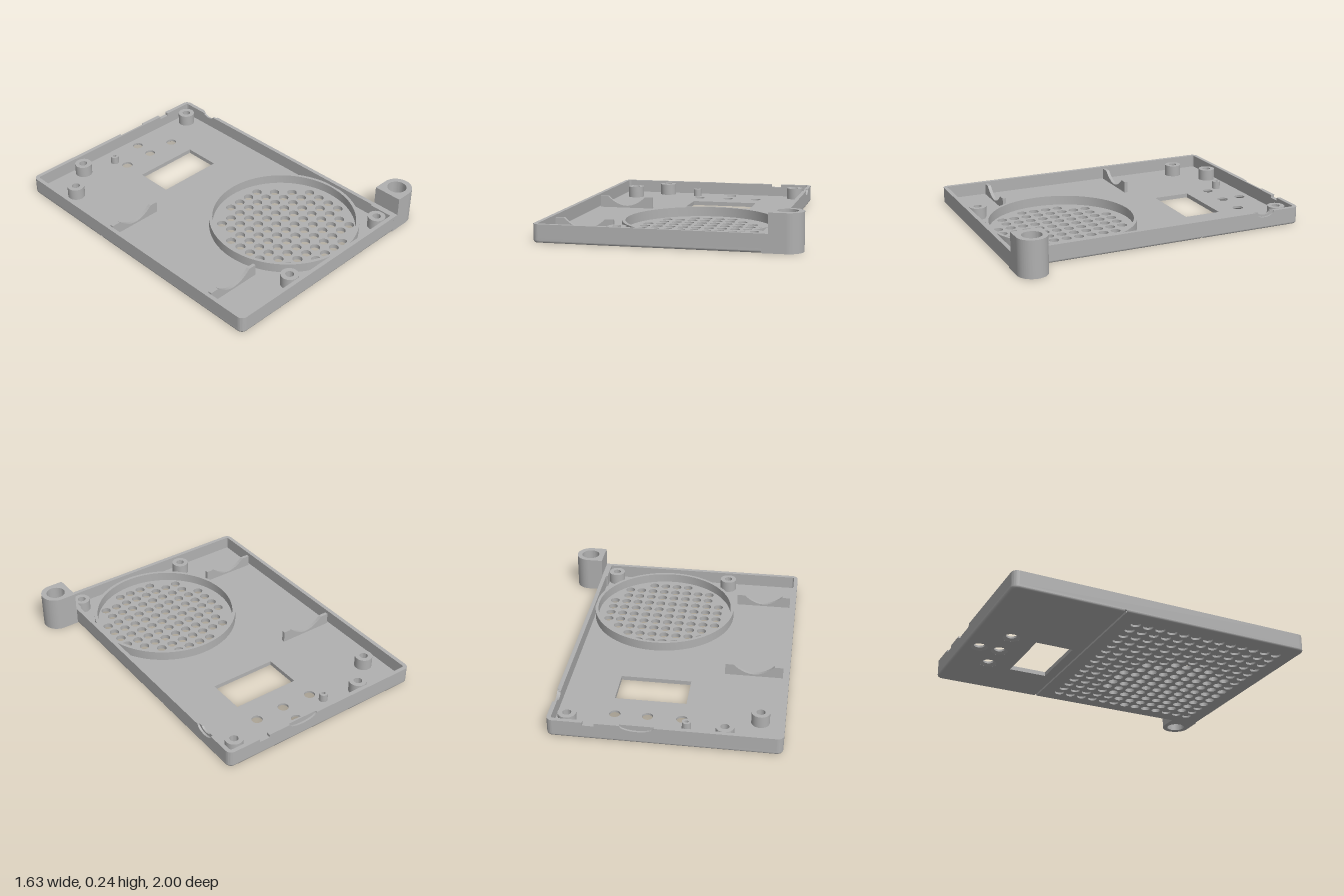
import * as THREE from 'three';
import { toCreasedNormals } from 'three/addons/utils/BufferGeometryUtils.js';

const L = -0.815, R = 0.615;          // shell sides
const CORNER = 0.04, WALL = 0.027;    // corner radius, wall thickness
const SKIN = 0.014, FLOOR = 0.028, RIM = 0.114;
const GROOVE = -0.28;

const circle = (x, z, r) => new THREE.Path().absarc(x, z, r, 0, Math.PI * 2, true);

// Extrudes an (x, z) outline between two heights
function slab(shape, y0, y1, seg = 12) {
  const g = new THREE.ExtrudeGeometry(shape, { depth: y1 - y0, bevelEnabled: false, curveSegments: seg });
  return toCreasedNormals(g.rotateX(Math.PI / 2).translate(0, y1, 0), 0.6);
}

function rectPath(Type, x0, z0, x1, z1) {
  return new Type([[x0, z0], [x1, z0], [x1, z1], [x0, z1]].map(p => new THREE.Vector2(...p)));
}

// U-shaped half outline of the shell: points with outward normals
function halfOutline(zCut, end) {
  const pts = [{ x: R, z: zCut, nx: 1, nz: 0 }];
  [[R - CORNER, 0], [L + CORNER, Math.PI / 2]].forEach(([cx, a0]) => {
    for (let i = 0; i <= 8; i++) {
      const a = a0 + i / 8 * Math.PI / 2, nx = Math.cos(a), nz = Math.sin(a) * end;
      pts.push({ x: cx + nx * CORNER, z: end * (1 - CORNER) + nz * CORNER, nx, nz });
    }
  });
  pts.push({ x: L, z: zCut, nx: -1, nz: 0 });
  return pts;
}

// Rounded strip along the lower edge
function filletStrip(pts) {
  const pos = [], idx = [], N = 4;
  pts.forEach((p, i) => {
    for (let j = 0; j <= N; j++) {
      const a = j / N * Math.PI / 2, inset = SKIN * (1 - Math.cos(a));
      pos.push(p.x - p.nx * inset, SKIN * (1 - Math.sin(a)), p.z - p.nz * inset);
      if (i && j) {
        const b = i * (N + 1) + j, c = b - N - 1;
        idx.push(c - 1, b - 1, b, c - 1, b, c);
      }
    }
  });
  const g = new THREE.BufferGeometry();
  g.setAttribute('position', new THREE.Float32BufferAttribute(pos, 3));
  g.setIndex(idx);
  g.computeVertexNormals();
  return g;
}

// Upright wall panel with notches cut from the top edge (ordered from high u to low u)
function panel(a, b, thick, notches = []) {
  const s = new THREE.Shape();
  s.moveTo(a, FLOOR).lineTo(b, FLOOR).lineTo(b, RIM);
  for (const { c, w, d, square } of notches) {
    if (square) s.lineTo(c + w, RIM).lineTo(c + w, RIM - d).lineTo(c - w, RIM - d).lineTo(c - w, RIM);
    else for (let i = 0; i <= 16; i++) {
      const t = i / 16 * Math.PI;
      s.lineTo(c + w * Math.cos(t), RIM - d * Math.sin(t));
    }
  }
  s.lineTo(a, RIM);
  return new THREE.ExtrudeGeometry(s, { depth: thick, bevelEnabled: false });
}

export function createModel() {
  const model = new THREE.Group();
  model.name = 'speakerCaseShell';
  const grey = new THREE.MeshStandardMaterial({ color: 0xb0b0b0, side: THREE.DoubleSide });
  grey.name = 'grey plastic';
  const add = (name, g) => {
    const m = new THREE.Mesh(g, grey);
    m.name = name;
    model.add(m);
    return m;
  };

  // Grille layout: every cell is dimpled below, only those in the spans go through
  const spans = [null, null, null, [8, 11], [6, 12], [6, 13], [5, 14], [5, 14], [5, 14], [5, 14], [6, 13], [6, 13], [8, 11]];
  const dimples = [], through = [];
  spans.forEach((span, row) => {
    for (let i = 0; i < 15; i++) {
      const hole = () => circle(-0.685 + 0.0836 * i, -0.149 + 0.0845 * row, 0.032);
      dimples.push(hole());
      if (span && i >= span[0] && i <= span[1]) through.push(hole());
    }
  });
  const buttons = [[0.03, -0.9], [-0.183, -0.765], [0.03, -0.765], [0.235, -0.765]];
  const windowHole = () => rectPath(THREE.Path, -0.19, -0.6, 0.265, -0.35);

  // Bottom skin in two halves, divided by the cross groove
  [[GROOVE - 0.007, -1, [windowHole(), ...buttons.map(([x, z]) => circle(x, z, 0.055))]],
   [GROOVE + 0.007, 1, dimples]].forEach(([cut, end, holes]) => {
    const pts = halfOutline(cut, end);
    const s = new THREE.Shape(pts.map(p => new THREE.Vector2(p.x - p.nx * SKIN, p.z - p.nz * SKIN)));
    s.holes.push(...holes);
    add(end < 0 ? 'backSkin' : 'grilleSkin', slab(s, 0, SKIN, 10));
    const strip = filletStrip(pts);
    if (end < 0) {
      strip.setIndex([...strip.index.array].reverse());
      strip.computeVertexNormals();
    }
    add('lowerEdge', strip);
  });

  // Floor
  const outline = new THREE.Shape([...halfOutline(0, 1), ...halfOutline(0, -1).reverse()]
    .filter(p => p.z !== 0).map(p => new THREE.Vector2(p.x, p.z)));
  outline.holes.push(windowHole(), ...buttons.map(([x, z]) => circle(x, z, 0.035)), ...through);
  add('floor', slab(outline, SKIN, FLOOR, 10));

  // Countersinks under the button holes
  for (const [x, z] of buttons)
    add('buttonCountersink', new THREE.CylinderGeometry(0.035, 0.055, SKIN, 28, 1, true)).position.set(x, SKIN / 2, z);

  // Walls
  const x0 = L + CORNER, x1 = R - CORNER, z1 = 1 - CORNER, half = WALL / 2;
  add('frontWall', panel(x0, x1, WALL).translate(0, 0, 1 - WALL));
  const slot = { c: 0.355, w: 0.036, d: 0.02, square: true };
  add('backWallOuter', panel(x0, x1, half, [slot, { c: 0.06, w: 0.105, d: 0.035 }]).translate(0, 0, -1));
  add('backWallInner', panel(x0, x1, half, [slot]).translate(0, 0, -1 + half));
  const side = (g, x) => g.rotateY(-Math.PI / 2).translate(x, 0, 0);
  add('rightWall', side(panel(-z1, z1, WALL), L + WALL));
  add('leftWallOuter', side(panel(-z1, z1, half, [{ c: -0.74, w: 0.07, d: 0.036 }]), R));
  add('leftWallInner', side(panel(-z1, z1, half, [{ c: -0.74, w: 0.045, d: 0.022 }]), R - half));
  [[x1, z1], [x0, z1], [x0, -z1], [x1, -z1]].forEach(([x, z], i) => {
    const a = i * Math.PI / 2, s = new THREE.Shape();
    s.absarc(x, z, CORNER, a, a + Math.PI / 2, false);
    s.absarc(x, z, CORNER - WALL, a + Math.PI / 2, a, true);
    add('wallCorner', slab(s, FLOOR, RIM));
  });

  // Speaker ring
  const ring = new THREE.Shape().absarc(0.103, 0.475, 0.489, 0, Math.PI * 2, false);
  ring.holes.push(circle(0.103, 0.475, 0.468));
  add('speakerRing', slab(ring, FLOOR, 0.09, 48));

  // Screw posts and small locating post
  for (const [x, z, r, bore, top] of [
    [-0.46, -0.905, 0.057, 0.027, 0.105], [-0.663, -0.73, 0.057, 0.027, 0.105],
    [0.505, -0.893, 0.057, 0.027, 0.105], [-0.31, 0.905, 0.057, 0.027, 0.105],
    [0.522, 0.905, 0.057, 0.027, 0.105], [-0.222, -0.853, 0.028, 0.012, 0.08]]) {
    const s = new THREE.Shape().absarc(x, z, r, 0, Math.PI * 2, false);
    s.holes.push(circle(x, z, bore));
    add('screwPost', slab(s, FLOOR, top, 16));
  }

  // Curved cradles
  for (const z of [-0.22, 0.69]) {
    const s = new THREE.Shape();
    s.moveTo(-0.773, FLOOR).lineTo(-0.397, FLOOR).lineTo(-0.397, 0.105).lineTo(-0.45, 0.105);
    for (let i = 1; i <= 16; i++) {
      const t = 1 - i / 8;
      s.lineTo(-0.5835 + 0.1335 * t, 0.105 - 0.064 * (1 - t * t));
    }
    s.lineTo(-0.773, 0.105);
    add('cradle', new THREE.ExtrudeGeometry(s, { depth: 0.022, bevelEnabled: false }).translate(0, 0, z - 0.011));
  }

  // Strap lug with its reinforced corner
  const lug = new THREE.Shape();
  lug.moveTo(0.617, 0.808).lineTo(0.719, 0.808);
  lug.absarc(0.719, 0.904, 0.096, -Math.PI / 2, Math.PI / 2, false);
  lug.lineTo(0.617, 1);
  lug.holes.push(circle(0.717, 0.902, 0.062));
  add('strapLug', slab(lug, 0, 0.237, 24));
  add('lugCorner', slab(rectPath(THREE.Shape, 0.577, 0.808, 0.618, 1), 0, RIM));
  return model;
}
